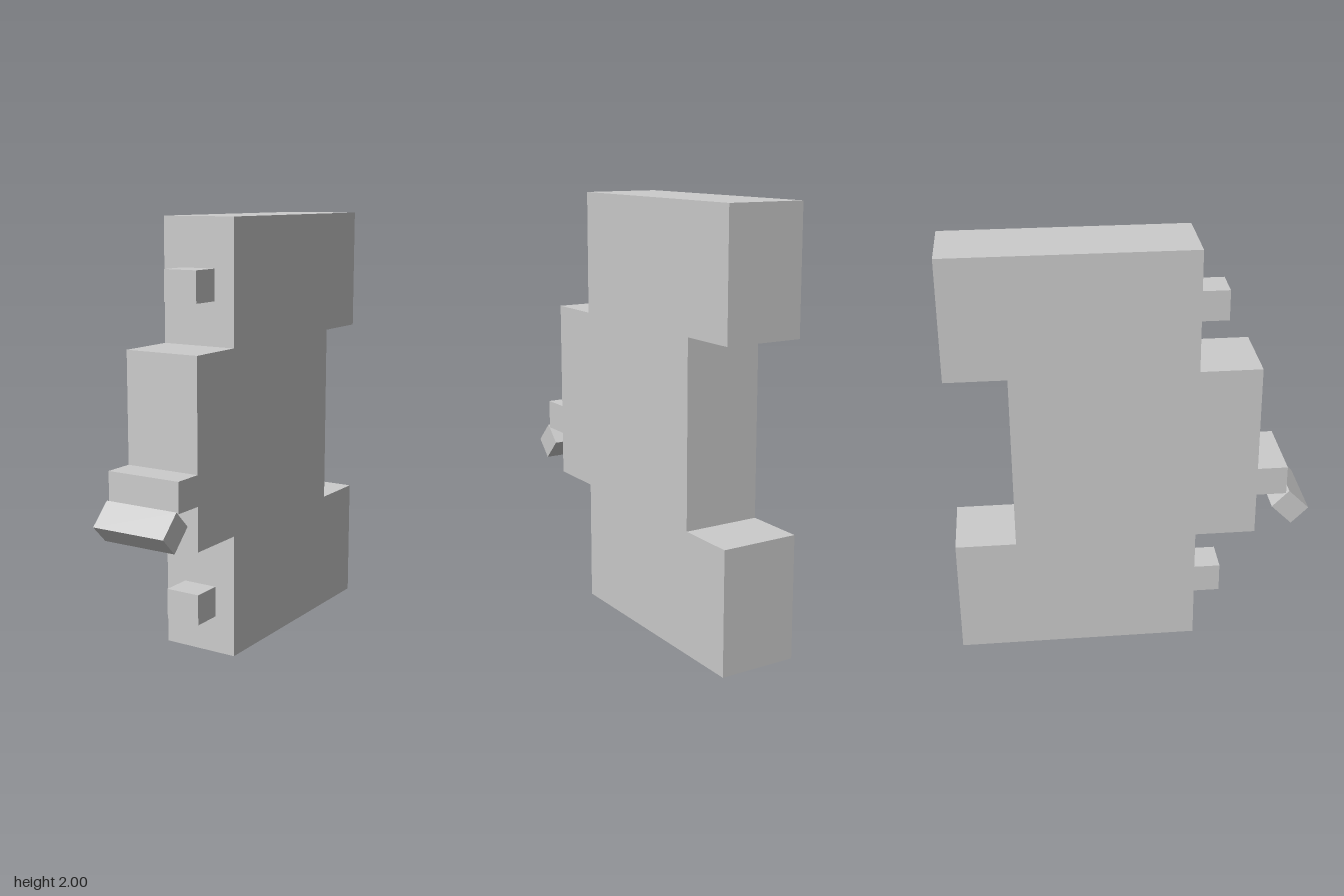
import * as THREE from 'three';

const WIDTH = 0.37;

export function createModel() {
  const group = new THREE.Group();
  const material = new THREE.MeshStandardMaterial({ color: 0xcccccc, flatShading: true });

  function add(name, geometry, y = 0, z = 0) {
    const mesh = new THREE.Mesh(geometry, material);
    mesh.name = name;
    mesh.position.set(0, y, z);
    group.add(mesh);
    return mesh;
  }

  // Housing: side profile as (z, y), with raised front and rail notch at the back
  const profile = [
    [-0.843, 0], [0.3, 0], [0.3, 0.573], [0.587, 0.573], [0.587, 1.43], [0.3, 1.43],
    [0.3, 2], [-0.843, 2], [-0.843, 1.43], [-0.558, 1.43], [-0.558, 0.573], [-0.843, 0.573],
  ].map(([z, y]) => new THREE.Vector2(z, y));
  const housing = new THREE.ExtrudeGeometry(new THREE.Shape(profile), { depth: WIDTH, bevelEnabled: false });
  housing.translate(0, 0, -WIDTH / 2).rotateY(-Math.PI / 2);
  add('housing', housing);

  // Terminal blocks, above and below the raised front
  for (const [name, y] of [['lowerTerminal', 0.246], ['upperTerminal', 1.703]]) {
    add(name, new THREE.BoxGeometry(0.17, 0.143, 0.143), y, 0.3715);
  }

  // Switch: fixed ledge with a tilted toggle bar
  add('switchBase', new THREE.BoxGeometry(WIDTH, 0.14, 0.143), 0.847, 0.6585);
  const toggle = add('switchToggle', new THREE.BoxGeometry(WIDTH, 0.114, 0.138), 0.699, 0.754);
  toggle.rotation.x = Math.PI / 4;

  return group;
}
